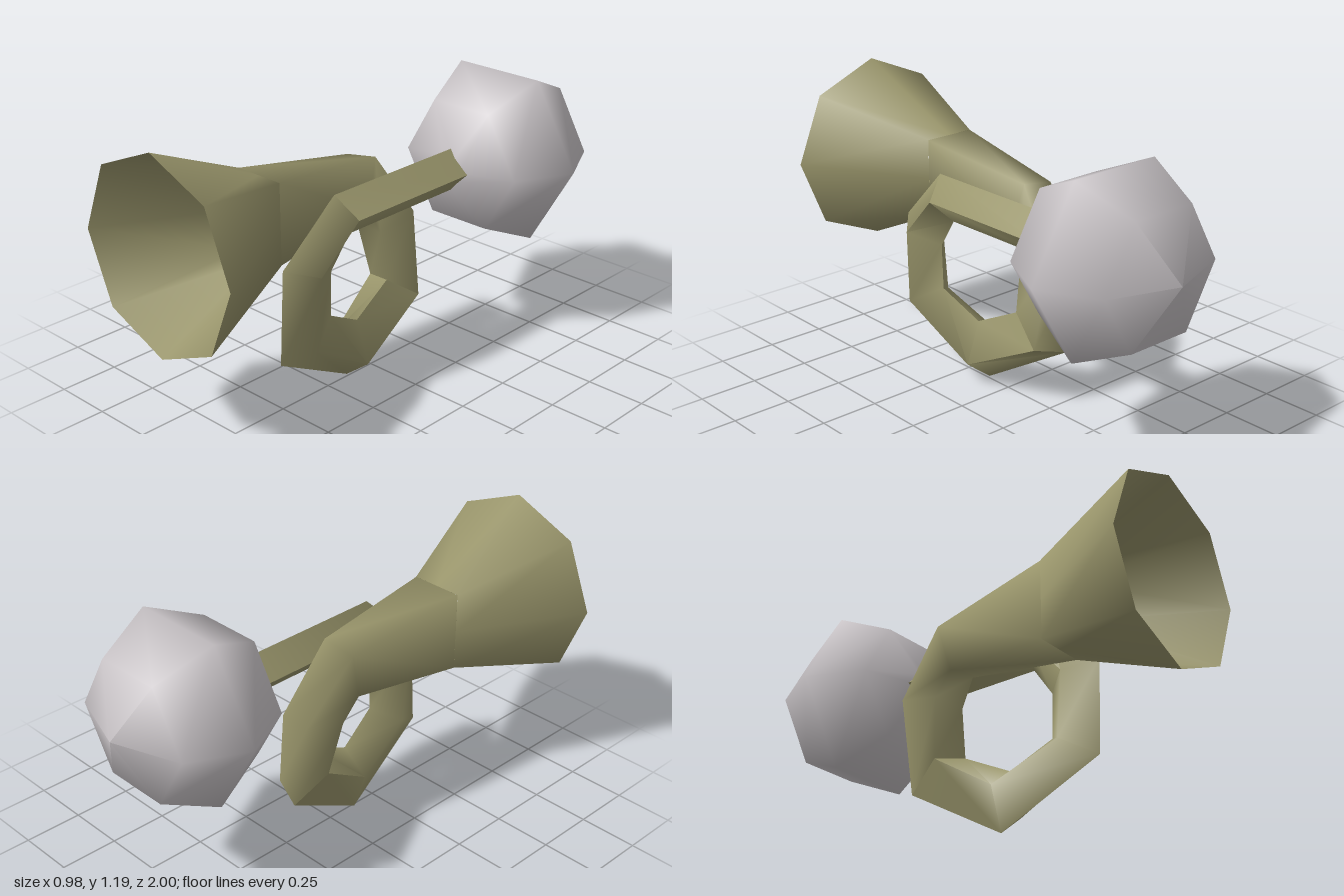
import * as THREE from 'three';
import { toCreasedNormals } from 'three/addons/utils/BufferGeometryUtils.js';

// Skin between consecutive rings holding equal numbers of points
function loft(rings) {
  const n = rings[0].length, index = [];
  for (let i = 0; i < rings.length - 1; i++) {
    for (let k = 0; k < n; k++) {
      const a = i * n + k, b = i * n + (k + 1) % n;
      index.push(a, b, a + n, b, b + n, a + n);
    }
  }
  const g = new THREE.BufferGeometry();
  g.setAttribute('position', new THREE.Float32BufferAttribute(rings.flat(2), 3));
  g.setIndex(index);
  g.computeVertexNormals();
  return g;
}

// Four-cornered tube section: centre, outward direction (y, z), half sizes, twist in degrees
function section([x, y, z, ny, nz, outer, side, twist]) {
  const len = Math.hypot(ny, nz);
  return [0, 1, 2, 3].map((k) => {
    const t = THREE.MathUtils.degToRad(twist + k * 90);
    const o = outer * Math.cos(t) / len;
    return [x - side * Math.sin(t), y + ny * o, z + nz * o];
  });
}

export function createModel() {
  const brass = new THREE.MeshStandardMaterial({ color: 0x99956b, side: THREE.DoubleSide });
  brass.name = 'olive brass';
  const rubber = new THREE.MeshStandardMaterial({ color: 0xc8c3c6, side: THREE.DoubleSide });
  rubber.name = 'pale grey rubber';

  const group = new THREE.Group();
  const add = (name, geometry, material) => {
    const mesh = new THREE.Mesh(geometry, material);
    mesh.name = name;
    group.add(mesh);
    return mesh;
  };

  // Bell: octagonal mouth narrowing to a rectangular throat
  const mouth = [], throat = [];
  for (let k = 0; k < 8; k++) {
    const c = Math.cos(k * Math.PI / 4), s = Math.sin(k * Math.PI / 4);
    mouth.push([-0.095 + 0.395 * c, 0.797 + 0.402 * s, 1]);
    throat.push([-0.108 + 0.112 * Math.round(c), 0.797 + 0.167 * Math.round(s), 0.49]);
  }
  add('bell', loft([throat, mouth]), brass);

  // Tube: straight neck, then one coil that twists to a diamond section
  const path = [
    [-0.108, 0.797, 0.49, 1, 0, 0.236, 0.158, 45],
    [-0.095, 0.79, -0.03, 0.97, -0.25, 0.15, 0.105, 52],
    [-0.075, 0.605, -0.165, 0.23, -0.97, 0.135, 0.105, 40],
    [-0.025, 0.31, -0.17, -0.57, -0.82, 0.135, 0.1, 28],
    [0.018, 0.145, 0.13, -1, 0, 0.142, 0.095, 18],
    [0.065, 0.31, 0.43, -0.5, 0.86, 0.14, 0.088, 11],
    [0.08, 0.61, 0.43, 0.3, 0.95, 0.125, 0.088, 5],
    [0.098, 0.795, 0.26, 0.9, 0.4, 0.1, 0.09, 0],
    [0.095, 0.795, -0.4, 1, 0, 0.09, 0.09, 0],
  ].map(section);
  add('neck', loft(path.slice(0, 4)), brass);
  add('coil', toCreasedNormals(loft(path.slice(3)), 1.4), brass);

  // Squeeze bulb: six-sided, slightly flattened front to back
  const profile = [[0, -0.333], [0.283, -0.236], [0.4, 0], [0.283, 0.236], [0.06, 0.308]]
    .map(([r, y]) => new THREE.Vector2(r, y));
  const bulb = new THREE.LatheGeometry(profile, 6);
  bulb.rotateY(Math.PI / 2).rotateX(Math.PI / 2);
  add('bulb', bulb, rubber).position.set(0.093, 0.8, -0.667);

  return group;
}
